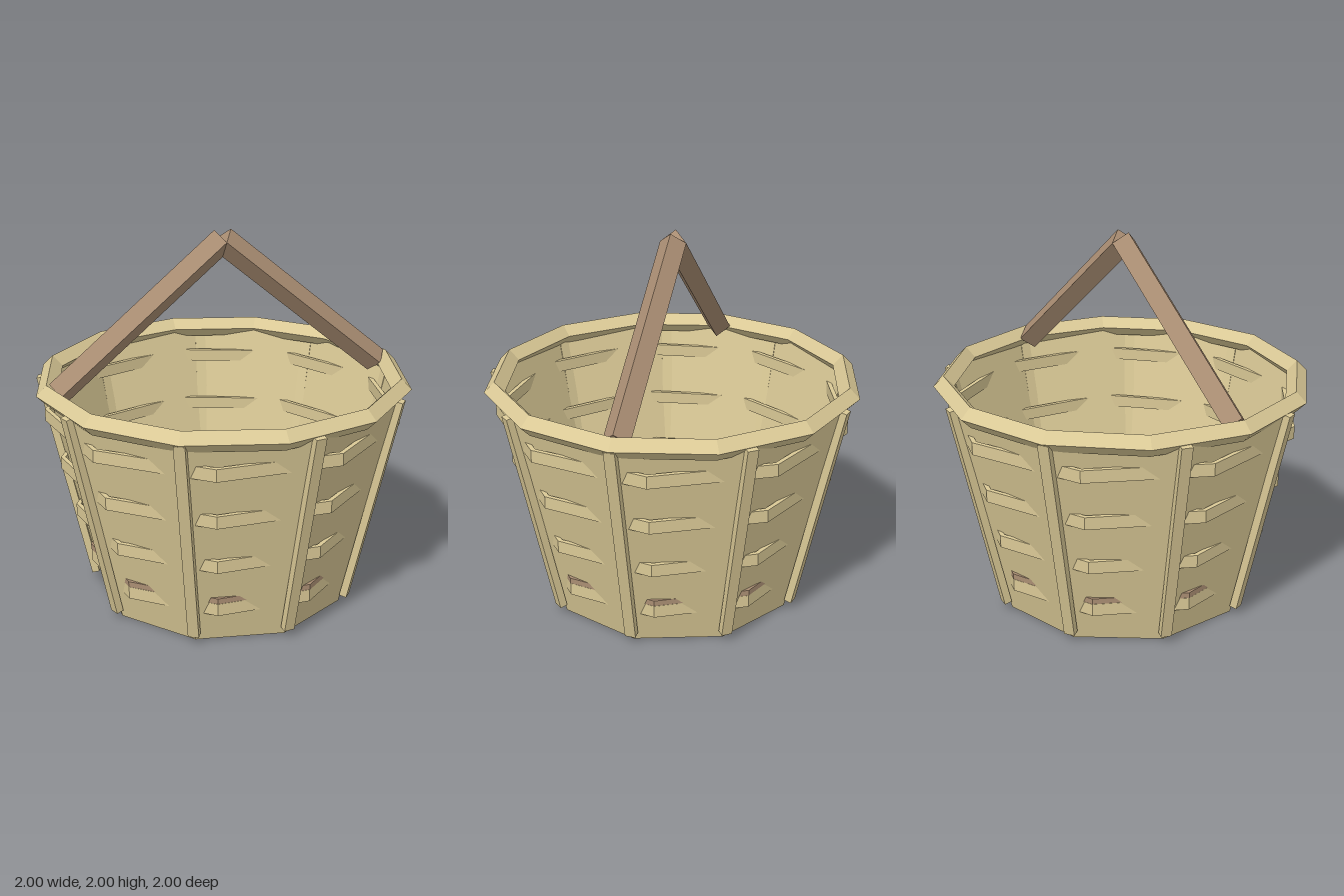
import * as THREE from 'three';

export function createModel() {
  const straw = new THREE.MeshStandardMaterial({ color: 0xdac996, flatShading: true, side: THREE.DoubleSide });
  straw.name = 'straw';
  const wood = new THREE.MeshStandardMaterial({ color: 0xaa8e73, flatShading: true });
  wood.name = 'wood';

  const basket = new THREE.Group();
  basket.name = 'basket';
  const SIDES = 9;

  function add(name, geometry, material, parent = basket) {
    const mesh = new THREE.Mesh(geometry, material);
    mesh.name = name;
    parent.add(mesh);
    return mesh;
  }

  // Revolves a profile of [radius, height] pairs into a faceted ring
  function revolve(profile, sides, start) {
    return new THREE.LatheGeometry(profile.map(([r, y]) => new THREE.Vector2(r, y)), sides, start);
  }

  // Thin tapered wall with a closed bottom, one corner on +x
  add('body', revolve([[0, 0], [0.68, 0], [0.965, 1.2]], SIDES, Math.PI / 2), straw);

  // Raised floor, turned so its corners poke through the wall
  const floor = add('floor', new THREE.CylinderGeometry(0.73, 0.73, 0.03, SIDES, 1, false, Math.PI), wood);
  floor.position.y = 0.255;

  // Woven bands, turned like the floor so they pass in and out of the wall
  for (let i = 0; i < 4; i++) {
    const y = 0.205 + i * 0.278;
    const outer = 0.728 + i * 0.072;
    const inner = outer - 0.025;
    const h = 0.033;
    const profile = [[outer, y - h], [outer, y + h], [inner, y + h], [inner, y - h], [outer, y - h]];
    add('wovenBand', revolve(profile, SIDES, Math.PI), straw);
  }

  // Upright slats along the corners of the wall
  const low = new THREE.Vector2(0.712, 0.045);
  const high = new THREE.Vector2(0.97, 1.2);
  const along = high.clone().sub(low);
  for (let i = 0; i < SIDES; i++) {
    const spoke = new THREE.Group();
    spoke.name = 'slatMount';
    spoke.rotation.y = (i / SIDES) * Math.PI * 2;
    basket.add(spoke);
    const slat = add('slat', new THREE.BoxGeometry(0.04, along.length(), 0.058), straw, spoke);
    slat.position.set((low.x + high.x) / 2, (low.y + high.y) / 2, 0);
    slat.rotation.z = -Math.atan2(along.x, along.y);
  }

  // Twelve-sided rim with a diamond section
  const R = 0.945, t = 0.055, rimY = 1.205;
  add('rim', revolve([[R, rimY - t], [R + t, rimY], [R, rimY + t], [R - t, rimY], [R, rimY - t]], 12, 0), straw);

  // Handle: two diamond-section bars meeting at the top
  for (const side of [-1, 1]) {
    const end = new THREE.Vector3(side * 0.885, 1.21, 0);
    const peak = new THREE.Vector3(0, 1.946, 0);
    const dir = peak.clone().sub(end);
    const bar = add(side > 0 ? 'leftHandleBar' : 'rightHandleBar',
      new THREE.CylinderGeometry(0.07, 0.07, dir.length(), 4), wood);
    bar.position.copy(end).add(peak).multiplyScalar(0.5);
    bar.rotation.z = Math.atan2(-dir.x, dir.y);
  }

  return basket;
}
